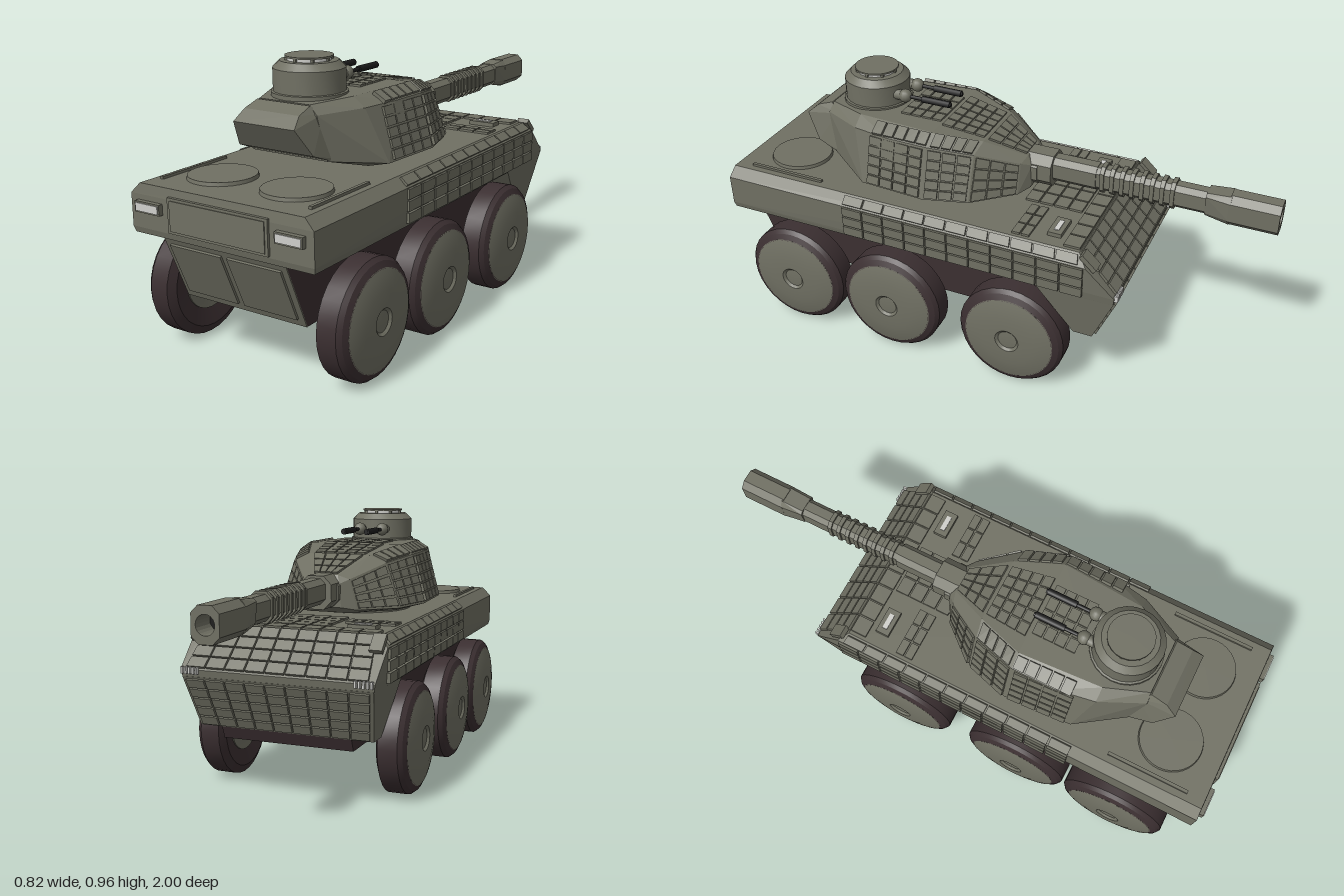
import * as THREE from 'three';
import { mergeGeometries, toCreasedNormals } from 'three/addons/utils/BufferGeometryUtils.js';
import { ConvexGeometry } from 'three/addons/geometries/ConvexGeometry.js';

const mat = (name, color) => Object.assign(new THREE.MeshStandardMaterial({ color }), { name });
const V = (p) => new THREE.Vector3(...p);
const flip = ([x, y, z]) => [-x, y, z];

export function createModel() {
  const model = new THREE.Group();
  model.name = 'armouredVehicle';
  const green = mat('olive armour', 0x707063);
  const brown = mat('dark rubber brown', 0x3b2f31);
  const light = mat('lamp glass', 0xd0d0cc);
  const black = mat('gun black', 0x1a1a1a);

  const add = (name, geo, material, x = 0, y = 0, z = 0) => {
    const m = new THREE.Mesh(geo, material);
    m.name = name;
    m.position.set(x, y, z);
    model.add(m);
    return m;
  };
  const box = (name, w, h, d, material, x, y, z) => add(name, new THREE.BoxGeometry(w, h, d), material, x, y, z);
  // convex solid from points given for the left half and mirrored
  const solid = (name, pts, material) =>
    add(name, new ConvexGeometry([...pts, ...pts.map(flip)].map(V)), material);
  const lathe = (pts, seg = 32) =>
    toCreasedNormals(new THREE.LatheGeometry(pts.map((p) => new THREE.Vector2(...p)), seg), 0.35);

  // grid of raised plates laid over a quad a-b-c-d (counter-clockwise from outside)
  const tiles = (name, quad, nu, nv, thick = 0.008, gap = 0.006) => {
    const [a, b, c, d] = quad.map(V);
    const n = b.clone().sub(a).cross(d.clone().sub(a)).normalize();
    const gu = gap / a.distanceTo(b), gv = gap / a.distanceTo(d);
    const parts = [];
    for (let i = 0; i < nu; i++) for (let j = 0; j < nv; j++) {
      const g = new THREE.BoxGeometry(1, 1, 1).toNonIndexed();
      const p = g.attributes.position;
      for (let k = 0; k < p.count; k++) {
        const u = (i + 0.5 + p.getX(k) * (1 - gu * nu)) / nu;
        const v = (j + 0.5 + p.getY(k) * (1 - gv * nv)) / nv;
        const q = a.clone().lerp(b, u).lerp(d.clone().lerp(c, u), v);
        q.addScaledVector(n, p.getZ(k) > 0 ? thick : -0.006);
        p.setXYZ(k, q.x, q.y, q.z);
      }
      g.computeVertexNormals();
      parts.push(g);
    }
    return add(name, mergeGeometries(parts), green);
  };
  const tilePair = (name, [a, b, c, d], ...rest) => {
    tiles(name + 'Left', [a, b, c, d], ...rest);
    tiles(name + 'Right', [b, a, d, c].map(flip), ...rest);
  };

  // hull
  solid('upperHull', [
    [0.35, 0.43, 0.975], [0.355, 0.45, 0.98], [0.355, 0.56, 0.98], [0.32, 0.595, 0.975],
    [0.32, 0.595, -0.41], [0.355, 0.56, -0.445], [0.35, 0.46, -0.55], [0.345, 0.43, -0.545],
  ], green);
  solid('lowerHull', [
    [0.24, 0.435, 0.965], [0.24, 0.205, 0.87], [0.24, 0.205, -0.45], [0.24, 0.435, -0.54],
  ], brown);
  solid('noseWedge', [
    [0.345, 0.435, -0.26], [0.345, 0.435, -0.548], [0.32, 0.25, -0.47], [0.32, 0.25, -0.4],
  ], green);
  tiles('rearLowerPlate', [[-0.24, 0.205, 0.87], [0.24, 0.205, 0.87], [0.24, 0.43, 0.963], [-0.24, 0.43, 0.963]], 1, 1, 0.003, 0);
  tiles('rearLowerDoors', [[-0.23, 0.22, 0.879], [0.23, 0.22, 0.879], [0.23, 0.42, 0.962], [-0.23, 0.42, 0.962]], 2, 1, 0.008, 0.025);
  box('rearPanel', 0.39, 0.115, 0.012, green, 0, 0.513, 0.983);
  box('rearPanelInset', 0.37, 0.098, 0.004, green, 0, 0.513, 0.99);

  // hull armour plates
  tilePair('sideTiles', [[0.355, 0.44, 0.49], [0.355, 0.44, -0.44], [0.355, 0.56, -0.44], [0.355, 0.56, 0.49]], 11, 3);
  tilePair('shoulderTiles', [[0.355, 0.565, 0.49], [0.355, 0.565, -0.42], [0.325, 0.592, -0.41], [0.325, 0.592, 0.49]], 11, 1, 0.006);
  tiles('glacisTiles', [[0.33, 0.465, -0.548], [-0.33, 0.465, -0.548], [-0.31, 0.595, -0.412], [0.31, 0.595, -0.412]], 9, 4);
  tiles('lowerNoseTiles', [[0.31, 0.255, -0.472], [-0.31, 0.255, -0.472], [-0.335, 0.43, -0.546], [0.335, 0.43, -0.546]], 9, 5);
  tiles('deckFrontTiles', [[-0.31, 0.595, -0.345], [0.31, 0.595, -0.345], [0.31, 0.595, -0.41], [-0.31, 0.595, -0.41]], 9, 1);
  tilePair('deckRearTiles', [[0.12, 0.595, -0.155], [0.31, 0.595, -0.155], [0.31, 0.595, -0.225], [0.12, 0.595, -0.225]], 3, 2);
  tiles('deckCentreTiles', [[-0.1, 0.595, -0.12], [0.1, 0.595, -0.12], [0.1, 0.595, -0.34], [-0.1, 0.595, -0.34]], 3, 4);

  for (const s of [1, -1]) {
    // rear lamps and deck fittings
    box('rearLampFrame', 0.102, 0.036, 0.02, green, s * 0.275, 0.524, 0.986);
    box('rearLamp', 0.092, 0.026, 0.004, light, s * 0.275, 0.524, 0.997);
    add('deckHatch', new THREE.CylinderGeometry(0.112, 0.115, 0.014, 32), green, s * 0.147, 0.6, 0.785);
    box('driverHatch', 0.1, 0.016, 0.05, green, s * 0.22, 0.602, -0.3);
    box('driverPeriscope', 0.06, 0.004, 0.018, light, s * 0.22, 0.611, -0.3);
    box('deckEdgeRail', 0.012, 0.012, 0.3, green, s * 0.29, 0.598, 0.76);
    box('noseBlock', 0.045, 0.018, 0.07, green, s * 0.325, 0.575, -0.45).rotation.x = -0.75;
    for (let i = 0; i < 5; i++) box('headLampSlat', 0.007, 0.024, 0.014, light, s * (0.285 + i * 0.014), 0.458, -0.554);

    // wheels
    for (const z of [0.71, 0.3, -0.185]) {
      const wheel = new THREE.Group();
      wheel.name = 'wheel';
      wheel.position.set(0, 0.2, z);
      wheel.rotation.z = -s * Math.PI / 2;
      const tyre = new THREE.Mesh(lathe([[0.1, 0.3], [0.17, 0.285], [0.2, 0.3], [0.2, 0.37], [0.188, 0.385], [0.165, 0.396]]), brown);
      tyre.name = 'tyre';
      const hub = new THREE.Mesh(lathe([[0, 0.305], [0.11, 0.293], [0.11, 0.32], [0.16, 0.38], [0.168, 0.395], [0.15, 0.4],
        [0.1, 0.41], [0.045, 0.411], [0.036, 0.403], [0, 0.406]]), green);
      hub.name = 'hub';
      const axle = new THREE.Mesh(new THREE.CylinderGeometry(0.025, 0.03, 0.09, 12), brown);
      axle.name = 'axle';
      axle.position.y = 0.265;
      wheel.add(tyre, hub, axle);
      model.add(wheel);
    }
  }

  // turret
  add('turretRing', new THREE.CylinderGeometry(0.21, 0.21, 0.03, 32), green, 0, 0.6, 0.22);
  solid('turretBody', [
    [0.19, 0.603, 0.46], [0.2, 0.603, 0.1], [0.08, 0.61, -0.08],
    [0.15, 0.65, 0.63], [0.265, 0.62, 0.45], [0.28, 0.62, 0.2], [0.235, 0.62, 0.04], [0.12, 0.625, -0.1], [0.07, 0.635, -0.13],
    [0.13, 0.8, 0.655], [0.205, 0.805, 0.5], [0.23, 0.807, 0.36], [0.23, 0.805, 0.2], [0.18, 0.785, 0.04], [0.09, 0.735, -0.1], [0.06, 0.72, -0.13],
    [0.1, 0.83, 0.65], [0.16, 0.838, 0.5], [0.18, 0.84, 0.2], [0.12, 0.812, 0.03], [0.05, 0.75, -0.11],
  ], green);
  solid('turretBustle', [
    [0.105, 0.828, 0.655], [0.108, 0.808, 0.715], [0.12, 0.772, 0.757], [0.148, 0.682, 0.7],
    [0.155, 0.655, 0.63], [0.13, 0.8, 0.62], [0.16, 0.65, 0.58],
  ], green);

  // turret armour plates
  tilePair('turretRearTiles', [[0.267, 0.625, 0.43], [0.28, 0.625, 0.21], [0.232, 0.8, 0.21], [0.22, 0.8, 0.43]], 4, 5);
  tilePair('turretSideTiles', [[0.28, 0.625, 0.195], [0.236, 0.625, 0.045], [0.183, 0.78, 0.045], [0.23, 0.8, 0.195]], 3, 5);
  tilePair('turretFrontTiles', [[0.234, 0.625, 0.035], [0.122, 0.628, -0.095], [0.092, 0.73, -0.095], [0.178, 0.78, 0.035]], 3, 4);
  tilePair('turretShoulderTiles', [[0.228, 0.808, 0.42], [0.228, 0.808, 0.2], [0.183, 0.838, 0.2], [0.177, 0.838, 0.42]], 5, 1);
  tilePair('turretBrowTiles', [[0.226, 0.806, 0.19], [0.182, 0.788, 0.045], [0.125, 0.813, 0.04], [0.178, 0.838, 0.19]], 4, 1);
  tiles('roofTiles', [[-0.1, 0.838, 0.37], [0.1, 0.838, 0.37], [0.1, 0.838, 0.205], [-0.1, 0.838, 0.205]], 4, 4);
  tiles('roofMiddleTiles', [[-0.12, 0.838, 0.195], [0.12, 0.838, 0.195], [0.1, 0.812, 0.035], [-0.1, 0.812, 0.035]], 5, 4);
  tiles('roofFrontTiles', [[-0.1, 0.81, 0.025], [0.1, 0.81, 0.025], [0.045, 0.752, -0.105], [-0.045, 0.752, -0.105]], 4, 3);

  // cupola
  add('cupola', lathe([[0, 0.83], [0.127, 0.83], [0.127, 0.845], [0.12, 0.847], [0.12, 0.922], [0.097, 0.945], [0, 0.945]], 24), green, 0, 0, 0.515);
  add('cupolaGlass', new THREE.CylinderGeometry(0.073, 0.073, 0.012, 16), light, 0, 0.95, 0.515);
  add('cupolaLid', new THREE.CylinderGeometry(0.08, 0.08, 0.006, 24), green, 0, 0.958, 0.515);
  for (let i = 0; i < 8; i++) {
    const a = i * Math.PI / 4;
    box('cupolaPost', 0.01, 0.013, 0.01, green, Math.sin(a) * 0.073, 0.95, 0.515 + Math.cos(a) * 0.073);
  }

  // twin machine guns
  const rod = (r, len) => new THREE.CylinderGeometry(r, r, len, 10).rotateX(Math.PI / 2);
  for (const s of [1, -1]) {
    add('gunMount', new THREE.SphereGeometry(0.025, 12, 8), green, s * 0.047, 0.885, 0.375);
    add('gunSocket', rod(0.019, 0.06), green, s * 0.047, 0.885, 0.4);
    add('machineGun', rod(0.007, 0.17), black, s * 0.047, 0.885, 0.275);
    add('machineGunJacket', rod(0.012, 0.11), black, s * 0.047, 0.885, 0.25);
  }

  // main gun: chamfered sections running forward
  const section = (name, w, h, z0, z1, hole = false, y = 0.7) => {
    const c = Math.min(w, h) * 0.5;
    const s = new THREE.Shape([[w, h - c], [w - c, h], [c - w, h], [-w, h - c], [-w, c - h], [c - w, -h], [w - c, -h], [w, c - h]]
      .map((p) => new THREE.Vector2(...p)));
    if (hole) s.holes.push(new THREE.Path().absarc(0, 0, w * 0.68, 0, Math.PI * 2, true));
    return add(name, new THREE.ExtrudeGeometry(s, { depth: z0 - z1, bevelEnabled: false, curveSegments: 10 }), green, 0, y, z1);
  };
  section('mantlet', 0.06, 0.06, -0.08, -0.2, false, 0.695);
  section('mantletCollar', 0.066, 0.05, -0.1, -0.15, false, 0.69);
  section('barrel', 0.034, 0.043, -0.18, -0.9);
  section('barrelSleeve', 0.038, 0.046, -0.2, -0.36);
  for (let i = 0; i < 8; i++) section('barrelRib', 0.039, 0.052, -0.375 - i * 0.036, -0.39 - i * 0.036);
  section('muzzle', 0.046, 0.057, -0.83, -1, true, 0.697);
  solid('muzzleTaper', [
    [0.03, 0.752, -0.835], [0.046, 0.73, -0.835], [0.046, 0.665, -0.835], [0.03, 0.642, -0.835],
    [0.04, 0.735, -0.75], [0.036, 0.67, -0.75], [0.026, 0.657, -0.75], [0.028, 0.745, -0.75],
  ], green);
  add('muzzleBore', rod(0.031, 0.01), black, 0, 0.697, -0.91);

  return model;
}
